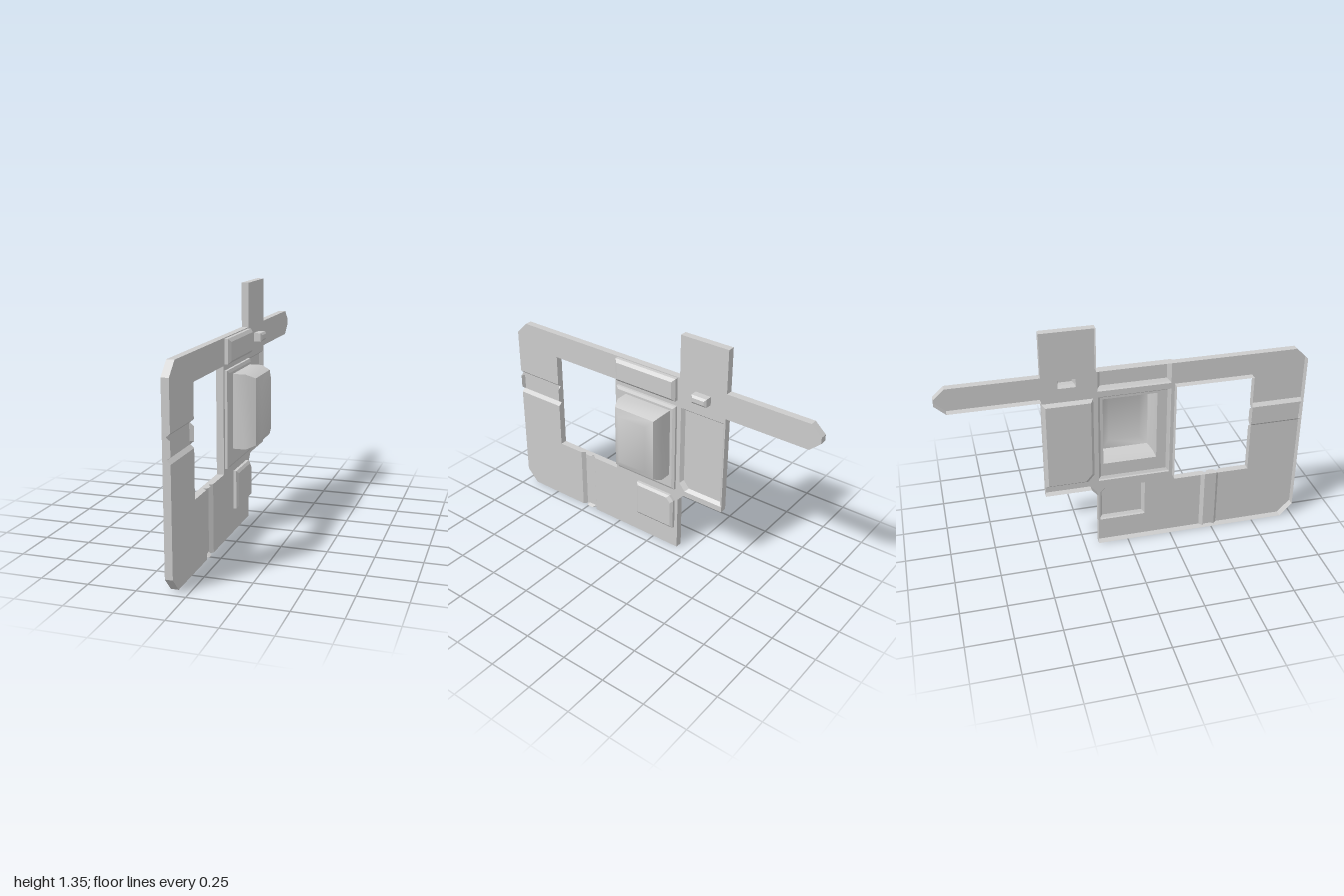
import * as THREE from 'three';
import { toCreasedNormals } from 'three/addons/utils/BufferGeometryUtils.js';

// Everything is drawn in a (u, v, w) frame: u = along the plate, v = up, w = out of its face.
const BACK = -0.102, FACE = -0.062, FLOOR = -0.082;
const material = new THREE.MeshStandardMaterial({ color: 0xcccccc, side: THREE.DoubleSide });

function makeMesh(name, geometry) {
  const mesh = new THREE.Mesh(geometry, material);
  mesh.name = name;
  return mesh;
}

// Skin over rows of points; closed rows form rings, cap fills the last ring
function loft(name, rows, { closed = false, cap = false, crease = 0.1 } = {}) {
  const n = rows[0].length, index = [], points = rows.flat();
  for (let i = 0; i < rows.length - 1; i++) {
    for (let j = 0; j < (closed ? n : n - 1); j++) {
      const k = (j + 1) % n, a = i * n, b = a + n;
      index.push(a + j, a + k, b + k, a + j, b + k, b + j);
    }
  }
  if (cap) {
    const base = (rows.length - 1) * n;
    for (let j = 1; j < n - 1; j++) index.push(base, base + j, base + j + 1);
  }
  const geometry = new THREE.BufferGeometry();
  geometry.setAttribute('position', new THREE.Float32BufferAttribute(points.flat(), 3));
  geometry.setIndex(index);
  geometry.computeVertexNormals();
  return makeMesh(name, toCreasedNormals(geometry, crease));
}

const rect = (u0, u1, v0, v1) => [[u0, v0], [u1, v0], [u1, v1], [u0, v1]];

// Ring of a convex outline at depth w, drawn in towards its middle
function ring(outline, w, inset = 0) {
  const mid = [0, 1].map((k) => {
    const c = outline.map((p) => p[k]);
    return (Math.min(...c) + Math.max(...c)) / 2;
  });
  return outline.map((p) => [...p.map((c, k) => c - Math.sign(c - mid[k]) * inset), w]);
}

// Pressed panel: steps are [depth, inset] pairs
const pressed = (name, outline, steps, crease) =>
  loft(name, steps.map(([w, inset]) => ring(outline, w, inset)), { closed: true, cap: true, crease });

// Flat sheet with holes
function sheet(name, outline, holes = []) {
  const vec = (pts) => pts.map(([u, v]) => new THREE.Vector2(u, v));
  const shape = new THREE.Shape(vec(outline));
  holes.forEach((h) => shape.holes.push(new THREE.Path(vec(h))));
  const geometry = new THREE.ShapeGeometry(shape);
  geometry.translate(0, 0, FACE);
  return makeMesh(name, geometry);
}

// Turned-back edge along an open path
const skirt = (name, path) =>
  loft(name, [BACK, FACE].map((w) => path.map(([u, v]) => [u, v, w])));

// Sunken strip across an arm, with notched corners; place maps (along, across) to (u, v)
function strip(name, length, width, place) {
  const across = [0, 0.018, 0.035, width - 0.035, width - 0.018, width];
  const notched = [FACE, FLOOR, FACE, FACE, FLOOR, FACE];
  const sunk = [FACE, FLOOR, FLOOR, FLOOR, FLOOR, FACE];
  const rim = Array(6).fill(BACK);
  const sections = [[0, rim], [0, notched], [0.01, sunk],
    [length - 0.01, sunk], [length, notched], [length, rim]];
  return loft(name, sections.map(([l, ws]) => across.map((s, i) => [...place(l, s), ws[i]])));
}

export function createModel() {
  const model = new THREE.Group();
  const body = new THREE.Group();
  body.name = 'plateBody';
  body.rotation.y = Math.PI / 2; // u -> -z, w -> +x
  model.add(body);

  // Outlines of the pressed panels
  const upper = rect(-0.246, 0.155, 0.962, 1.095);
  const middle = rect(-0.246, 0.155, 0.4, 0.928);
  const dome = rect(-0.176, 0.125, 0.494, 0.9);
  const side = [[0.215, 0.405], [0.454, 0.405], [0.454, 0.925], [0.18, 0.925], [0.18, 0.448]];
  const lower = [[-0.107, 0.134], [0.15, 0.134], [0.15, 0.32], [0.123, 0.348], [-0.107, 0.348]];
  const stud = rect(0.27, 0.365, 1.005, 1.053);

  // Corner sheet between the two strips
  const cornerOuter = [[-1, 0.632], [-1, 0.075], [-0.93, 0], [-0.54, 0]];
  const cornerInner = [[-0.54, 0.372], [-0.7, 0.372], [-0.7, 0.632]];
  body.add(sheet('cornerSheet', [...cornerOuter, ...cornerInner]));
  body.add(skirt('cornerOuterEdge', cornerOuter), skirt('cornerWindowEdge', cornerInner));

  // Main sheet with the tab and the long arm
  const mainOuter = [[-0.436, 0], [0.17, 0], [0.17, 0.33], [0.205, 0.372], [0.46, 0.372],
    [0.46, 0.955], [0.94, 0.955], [1, 1.01], [1, 1.045], [0.94, 1.1], [0.46, 1.1],
    [0.46, 1.345], [0.17, 1.345], [0.17, 1.1], [-0.93, 1.1], [-1, 1.03], [-1, 0.776]];
  const mainInner = [[-0.7, 0.776], [-0.7, 0.955], [-0.265, 0.955], [-0.265, 0.372], [-0.436, 0.372]];
  body.add(sheet('mainSheet', [...mainOuter, ...mainInner], [upper, middle, side, lower, stud]));
  body.add(skirt('mainOuterEdge', mainOuter), skirt('mainWindowEdge', mainInner));

  // Sunken strips across the front arm and the bottom arm
  body.add(strip('frontStrip', 0.3, 0.144, (l, s) => [-1 + l, 0.776 - s]));
  body.add(strip('bottomStrip', 0.372, 0.104, (l, s) => [-0.54 + s, l]));

  // Raised and sunken panels
  body.add(pressed('upperPanel', upper, [[FACE, 0], [-0.043, 0], [-0.028, 0.017]]));
  body.add(pressed('lowerPanel', lower, [[FACE, 0], [-0.046, 0], [-0.035, 0.014]]));
  body.add(pressed('sidePanel', side, [[FACE, 0], [FLOOR, 0.016]]));
  body.add(pressed('stud', stud, [[FACE, 0], [-0.024, 0], [-0.014, 0.012]]));

  // Middle panel opening into the hollow dome
  body.add(loft('middlePanel', [ring(middle, FACE), ring(middle, -0.048), ring(middle, -0.04, 0.015),
    ring(dome, -0.04)], { closed: true }));
  body.add(pressed('dome', dome, [[-0.04, 0], [0.03, 0], [0.08, 0.021], [0.1, 0.062]], 0.7));

  return model;
}
